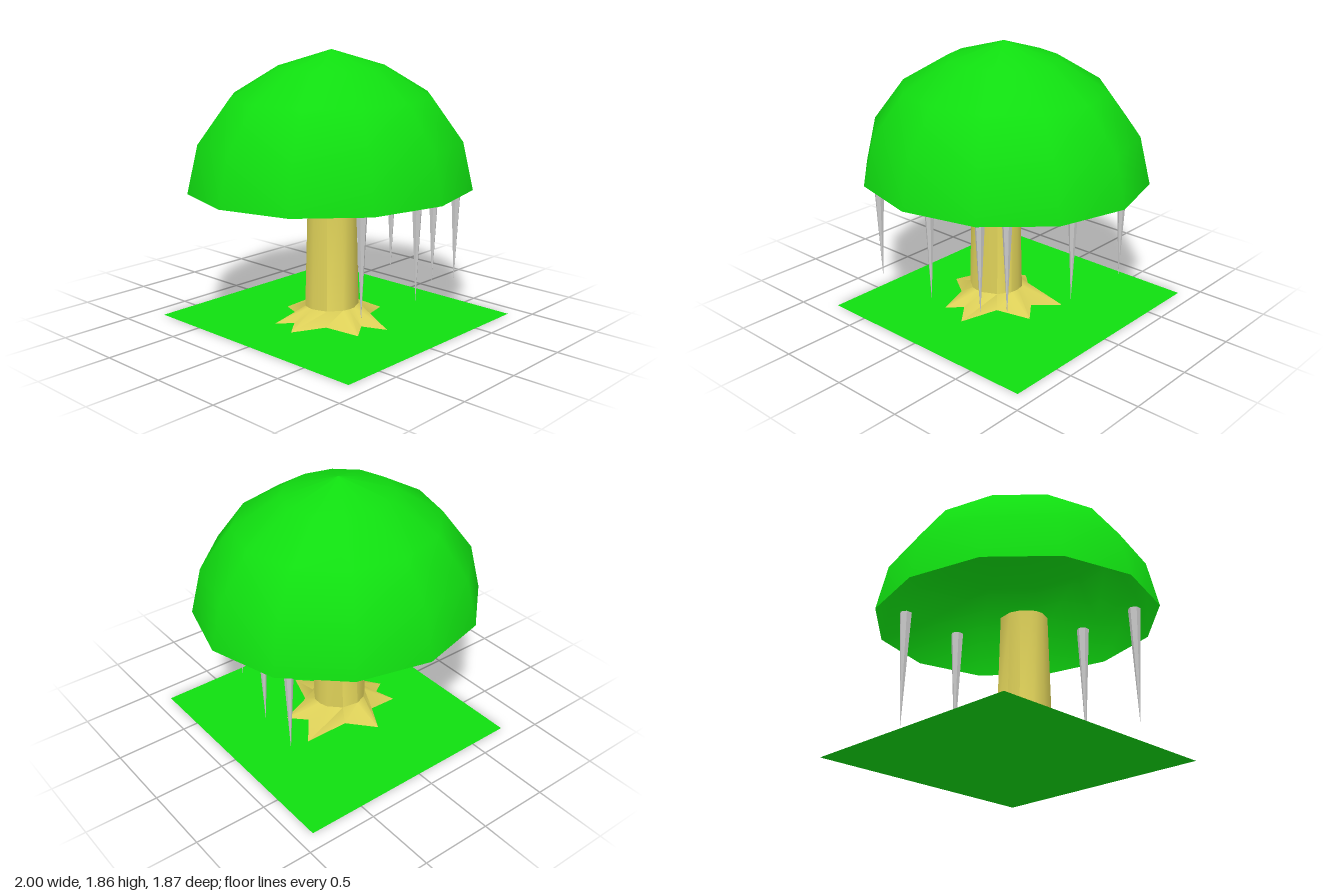
import * as THREE from 'three';
import { toCreasedNormals } from 'three/addons/utils/BufferGeometryUtils.js';

const paint = (color) => new THREE.MeshStandardMaterial({ color, side: THREE.DoubleSide });

// Skin stacked rings of [x, y, z] points, listed bottom to top
function loft(rings) {
  const n = rings[0].length;
  const index = [];
  for (let r = 0; r < rings.length - 1; r++) {
    for (let i = 0; i < n; i++) {
      const a = r * n + i, b = r * n + (i + 1) % n;
      index.push(a, a + n, b, b, a + n, b + n);
    }
  }
  const geometry = new THREE.BufferGeometry();
  geometry.setAttribute('position', new THREE.Float32BufferAttribute(rings.flat(2), 3));
  geometry.setIndex(index);
  return toCreasedNormals(geometry, 0.7);
}

export function createModel() {
  const model = new THREE.Group();
  const add = (name, geometry, material) => {
    const mesh = new THREE.Mesh(geometry, material);
    mesh.name = name;
    model.add(mesh);
    return mesh;
  };
  const green = paint(0x10de10);

  // Ground sheet
  const ground = new THREE.PlaneGeometry(1.67, 1.75).rotateX(-Math.PI / 2);
  add('ground', ground, green).position.set(0.055, 0, -0.005);

  // Open twelve-sided canopy, slightly narrower in depth
  const profile = [[1, 0.95], [0.924, 1.27], [0.707, 1.555], [0.383, 1.745], [0, 1.86]];
  const dome = new THREE.LatheGeometry(profile.map(([r, y]) => new THREE.Vector2(r, y)), 12);
  add('canopy', dome, green).scale.z = 0.937;

  // Trunk flaring into seven pointed roots, [x, z] of each tip in turn
  const cx = -0.037, cz = 0.038;
  const tips = [[0.395, -0.165], [0.36, 0.14], [0.04, 0.475], [-0.18, 0.41],
    [-0.435, 0.04], [-0.39, -0.16], [-0.09, -0.345]];
  const polar = tips.map(([x, z]) => ({
    a: Math.atan2(z - cz, x - cx), r: Math.hypot(x - cx, z - cz),
  }));
  const spokes = [];
  polar.forEach((tip, i) => {
    const next = polar[(i + 1) % polar.length].a;
    const gap = (next - tip.a + 2 * Math.PI) % (2 * Math.PI);
    // Each tip is followed by a valley, shallower between close roots
    spokes.push({ ...tip, y: 0.012 });
    spokes.push({ a: tip.a + gap / 2, r: gap < 0.8 ? 0.3 : 0.25, y: 0.03 });
  });
  const circle = (y, rx, rz) => spokes.map(({ a }) => [cx + rx * Math.cos(a), y, cz + rz * Math.sin(a)]);
  const star = spokes.map(({ a, r, y }) => [cx + r * Math.cos(a), y, cz + r * Math.sin(a)]);
  add('trunkAndRoots', loft([star, circle(0.12, 0.19, 0.182), circle(0.97, 0.172, 0.155)]), paint(0xdccf58));

  // Tapering spikes hanging inside the canopy, [x, z, tip height]
  const length = 0.865;
  const spike = toCreasedNormals(new THREE.ConeGeometry(0.045, length, 6).rotateX(Math.PI), 0.3);
  const grey = paint(0xcccccc);
  const spikes = [[-0.48, 0.7, 0.27], [0.02, 0.725, 0.28], [0.445, 0.715, 0.31],
    [0.48, 0.505, 0.235], [0.615, 0.02, 0.205], [0.7, -0.395, 0.26]];
  for (const [x, z, tip] of spikes) {
    add('hangingSpike', spike, grey).position.set(x, tip + length / 2, z);
  }
  return model;
}
